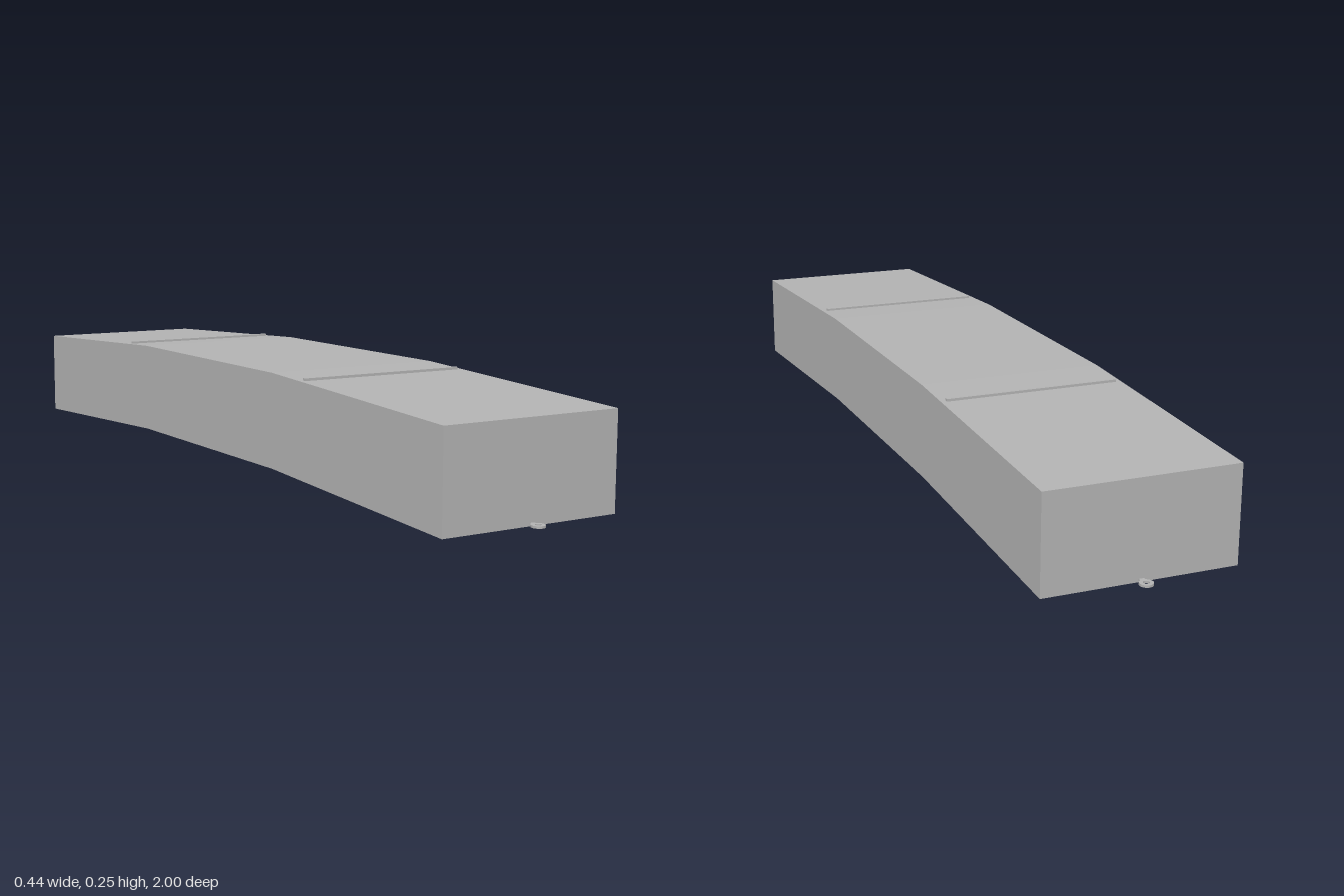
import * as THREE from 'three';

export function createModel() {
  const group = new THREE.Group();
  const grey = new THREE.MeshStandardMaterial({ color: 0xb2b2b2 });
  grey.name = 'grey';

  const add = (name, geometry, x, y, z) => {
    const mesh = new THREE.Mesh(geometry, grey);
    mesh.name = name;
    mesh.position.set(x, y, z);
    group.add(mesh);
  };

  // Arched slab: side profile (z, y) extruded across the width
  const halfWidth = 0.218, end = 0.965, kink = 0.325, rise = 0.03, thick = 0.218;
  const profile = new THREE.Shape([
    [-end, 0], [-kink, rise], [kink, rise], [end, 0],
    [end, thick], [kink, thick + rise], [-kink, thick + rise], [-end, thick],
  ].map(([z, y]) => new THREE.Vector2(-z, y)));
  const slab = new THREE.ExtrudeGeometry(profile, { depth: 2 * halfWidth, bevelEnabled: false });
  slab.translate(0, 0, -halfWidth);
  slab.rotateY(Math.PI / 2);
  add('body', slab, 0, 0, 0);

  // Flat coupling ring, with its hole along y
  const ringShape = new THREE.Shape().absarc(0, 0, 0.015, 0, Math.PI * 2, false);
  ringShape.holes.push(new THREE.Path().absarc(0, 0, 0.007, 0, Math.PI * 2, true));
  const ring = new THREE.ExtrudeGeometry(ringShape, { depth: 0.005, bevelEnabled: false, curveSegments: 16 });
  ring.rotateX(-Math.PI / 2);

  for (const [side, s] of [['front', 1], ['back', -1]]) {
    // Raised cross bar on each slope
    add(side + 'Bar', new THREE.BoxGeometry(0.41, 0.007, 0.01), 0, 0.2445, s * 0.442);
    // Ring and its short stem at each end
    add(side + 'Ring', ring, 0, 0.002, s * 0.985);
    add(side + 'RingStem', new THREE.BoxGeometry(0.012, 0.005, 0.014), 0, 0.0045, s * 0.968);
  }
  return group;
}
